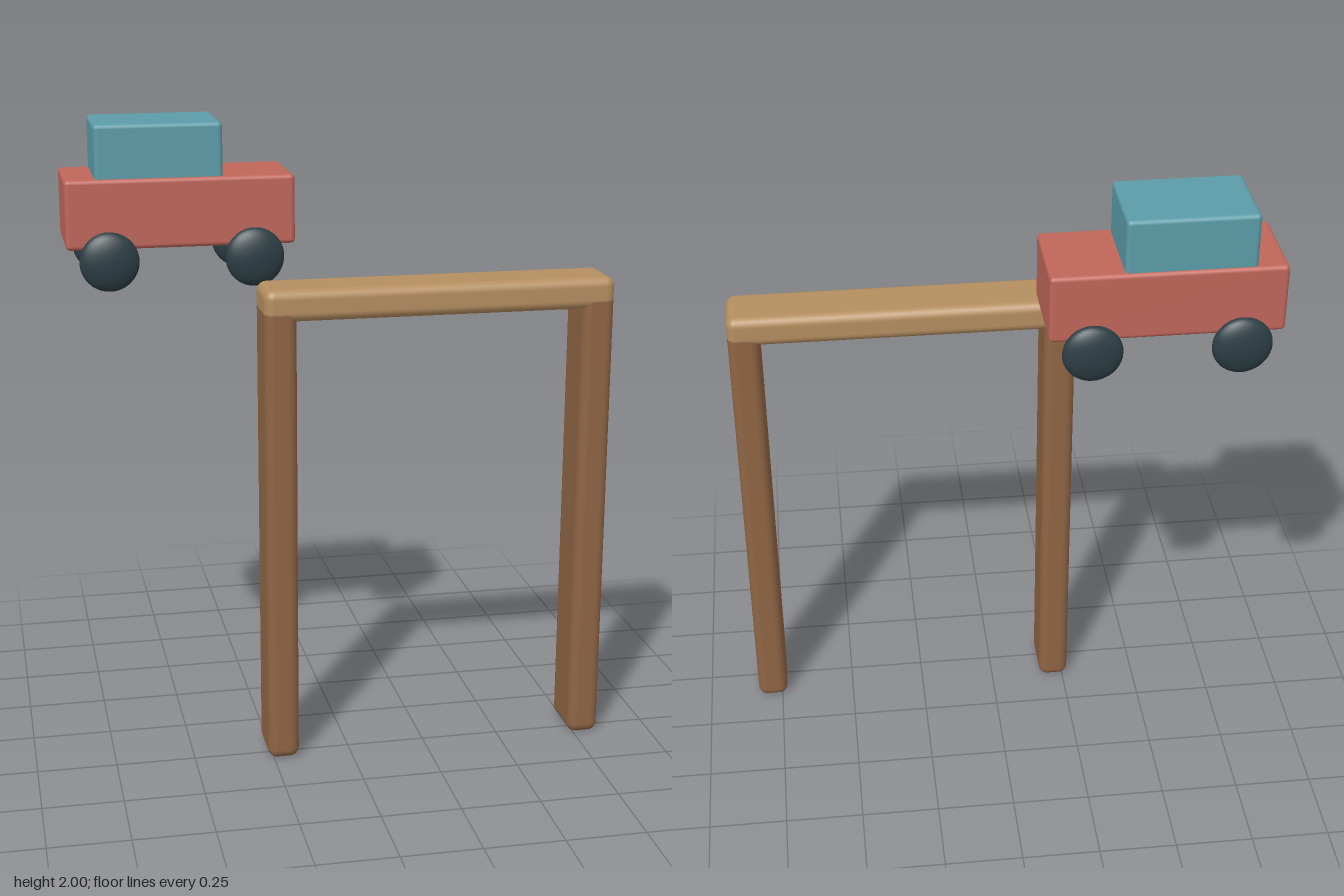
import * as THREE from 'three';
import { RoundedBoxGeometry } from 'three/addons/geometries/RoundedBoxGeometry.js';

const material = (name, color) => {
  const m = new THREE.MeshStandardMaterial({ color });
  m.name = name;
  return m;
};

export function createModel() {
  const lightWood = material('light wood', 0xb58e60);
  const darkWood = material('dark wood', 0x8f6544);
  const red = material('brick red', 0xc0665a);
  const teal = material('teal', 0x5c9ca8);
  const rubber = material('dark rubber', 0x2c3e44);

  const model = new THREE.Group();
  model.name = 'carAndArch';

  const add = (parent, name, geometry, mat, x, y, z) => {
    const mesh = new THREE.Mesh(geometry, mat);
    mesh.name = name;
    mesh.position.set(x, y, z);
    parent.add(mesh);
    return mesh;
  };

  // Arch: two posts that sink slightly into the beam
  const arch = new THREE.Group();
  arch.name = 'arch';
  arch.position.set(0.282, 0, 0.219);
  model.add(arch);
  add(arch, 'beam', new RoundedBoxGeometry(1.1, 0.1, 0.188, 4, 0.03), lightWood, 0, 1.48, 0);
  for (const side of [-1, 1]) {
    add(arch, side < 0 ? 'rightPost' : 'leftPost',
      new RoundedBoxGeometry(0.1, 1.48, 0.188, 4, 0.03), darkWood, side * 0.5, 0.74, 0);
  }

  // Toy car: body, cabin and four flattened round wheels
  const car = new THREE.Group();
  car.name = 'car';
  car.position.set(-0.479, 0, -0.118);
  model.add(car);
  add(car, 'body', new RoundedBoxGeometry(0.71, 0.216, 0.298, 3, 0.014), red, 0, 1.727, 0);
  add(car, 'cabin', new RoundedBoxGeometry(0.394, 0.2, 0.278, 3, 0.014), teal, -0.064, 1.9, 0);

  const wheelShape = new THREE.SphereGeometry(0.092, 32, 20);
  for (const end of [-1, 1]) {
    for (const side of [-1, 1]) {
      const name = (end < 0 ? 'rear' : 'front') + (side < 0 ? 'Left' : 'Right') + 'Wheel';
      add(car, name, wheelShape, rubber, end * 0.225, 1.584, side * 0.159).scale.z = 0.4;
    }
  }

  return model;
}
